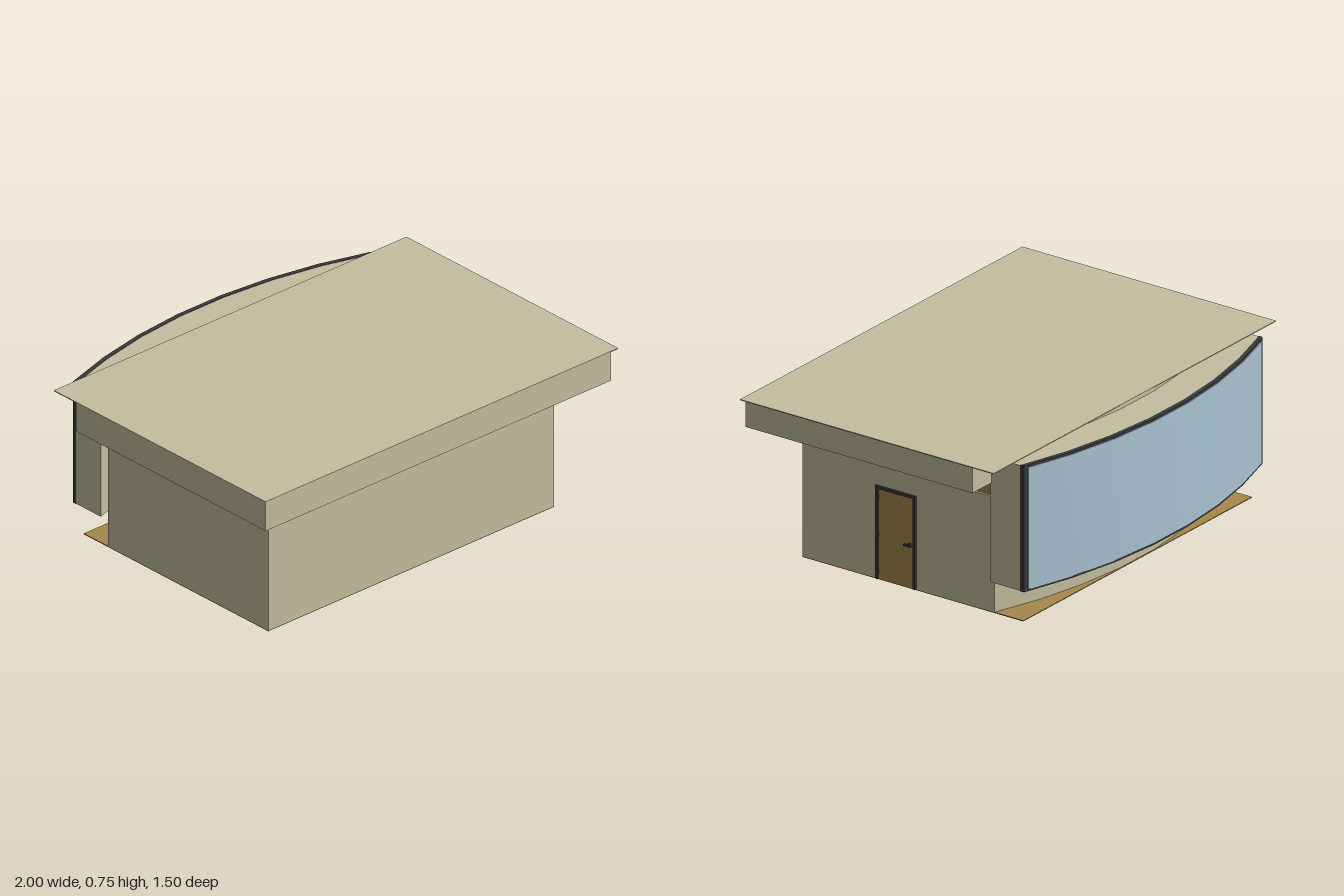
import * as THREE from 'three';
import { toCreasedNormals } from 'three/addons/utils/BufferGeometryUtils.js';

const CX = -0.02; // centre line of the walls
const mat = (color) => new THREE.MeshStandardMaterial({ color, side: THREE.DoubleSide });

export function createModel() {
  const group = new THREE.Group();
  const plaster = mat(0xc4bf9f), wood = mat(0xa6894c), dark = mat(0x3a3a3e), glass = mat(0xa9c2d1);

  const add = (name, geometry, material) => {
    const mesh = new THREE.Mesh(geometry, material);
    mesh.name = name;
    group.add(mesh);
    return mesh;
  };

  // Box given by its limits on each axis
  const box = (name, material, x0, x1, y0, y1, z0, z1) => {
    const mesh = add(name, new THREE.BoxGeometry(x1 - x0, y1 - y0, z1 - z0), material);
    mesh.position.set((x0 + x1) / 2, (y0 + y1) / 2, (z0 + z1) / 2);
    return mesh;
  };

  // Floor plan of [x, z] points raised from y0 to y1
  const slab = (name, material, plan, y0, y1) => {
    const shape = new THREE.Shape(plan.map(([x, z]) => new THREE.Vector2(x, -z)));
    const geometry = new THREE.ExtrudeGeometry(shape, { depth: y1 - y0, bevelEnabled: false });
    geometry.rotateX(-Math.PI / 2).translate(0, y0, 0);
    return add(name, toCreasedNormals(geometry, 0.5), material);
  };

  // Shallow circular arc bowing to the back, seven straight segments
  const arc = (half, zEnd, zMid) => {
    const sag = zEnd - zMid;
    const r = (half * half + sag * sag) / (2 * sag);
    const a = Math.asin(half / r);
    return Array.from({ length: 8 }, (_, i) => {
      const t = a * (i / 3.5 - 1);
      return [CX + r * Math.sin(t), zMid + r - r * Math.cos(t)];
    });
  };
  const band = (outer, inner) => [...outer, ...inner.slice().reverse()];

  // Wall ring open to the back
  const ring = (half, front, back, t) => [
    [CX - half, back], [CX - half, front], [CX + half, front], [CX + half, back],
    [CX + half - t, back], [CX + half - t, front - t], [CX - half + t, front - t], [CX - half + t, back],
  ];

  // Floor, walls and the recessed wooden strip below the roof
  box('floor', wood, -0.83, 0.79, 0, 0.004, -0.57, 0.58);
  slab('walls', plaster, ring(0.81, 0.58, -0.42, 0.03), 0.004, 0.53);
  slab('clerestoryBand', wood, ring(0.8, 0.57, -0.415, 0.02), 0.53, 0.61);
  slab('curvedBackWall', plaster,
    band(arc(0.81, -0.42, -0.57), arc(0.81, -0.405, -0.555)), 0.004, 0.747);

  // Roof sheet with a hollow fascia hanging below it
  box('roof', plaster, -1, 1, 0.746, 0.75, -0.57, 0.75);
  box('frontFascia', plaster, -1, 0.96, 0.61, 0.746, 0.746, 0.75);
  for (const [side, edge, wall] of [[1, 0.96, 0.79], [-1, -1, -0.83]]) {
    const inner = edge - side * 0.004;
    box('sideFascia', plaster, Math.min(edge, inner), Math.max(edge, inner), 0.61, 0.746, -0.43, 0.746);
    box('fasciaReturn', plaster, Math.min(inner, wall), Math.max(inner, wall), 0.61, 0.746, -0.43, -0.426);
  }

  // Curved window bay at the back
  slab('windowBay', plaster,
    band(arc(0.845, -0.58, -0.725), arc(0.845, -0.425, -0.568)), 0.155, 0.728);
  slab('windowFrame', dark,
    band(arc(0.845, -0.6, -0.745), arc(0.845, -0.58, -0.725)), 0.153, 0.73);
  slab('windowGlass', glass,
    band(arc(0.828, -0.61, -0.749), arc(0.828, -0.59, -0.73)), 0.163, 0.72);

  // Door with frame, hinges and lever handle
  for (const [z0, z1] of [[0.18, 0.195], [-0.015, -0.002]])
    box('doorPost', dark, 0.785, 0.8, 0.004, 0.43, z0, z1);
  box('doorHead', dark, 0.785, 0.8, 0.417, 0.43, -0.002, 0.18);
  box('door', wood, 0.78, 0.794, 0.006, 0.417, -0.002, 0.18);
  for (const y of [0.04, 0.21, 0.38])
    box('hinge', dark, 0.79, 0.802, y - 0.012, y + 0.012, 0.178, 0.186);
  const rose = add('handleRose', new THREE.CylinderGeometry(0.01, 0.01, 0.008, 16), dark);
  rose.rotation.z = Math.PI / 2;
  rose.position.set(0.797, 0.2, 0.016);
  box('handleLever', dark, 0.8, 0.81, 0.196, 0.203, 0.012, 0.042);

  return group;
}
